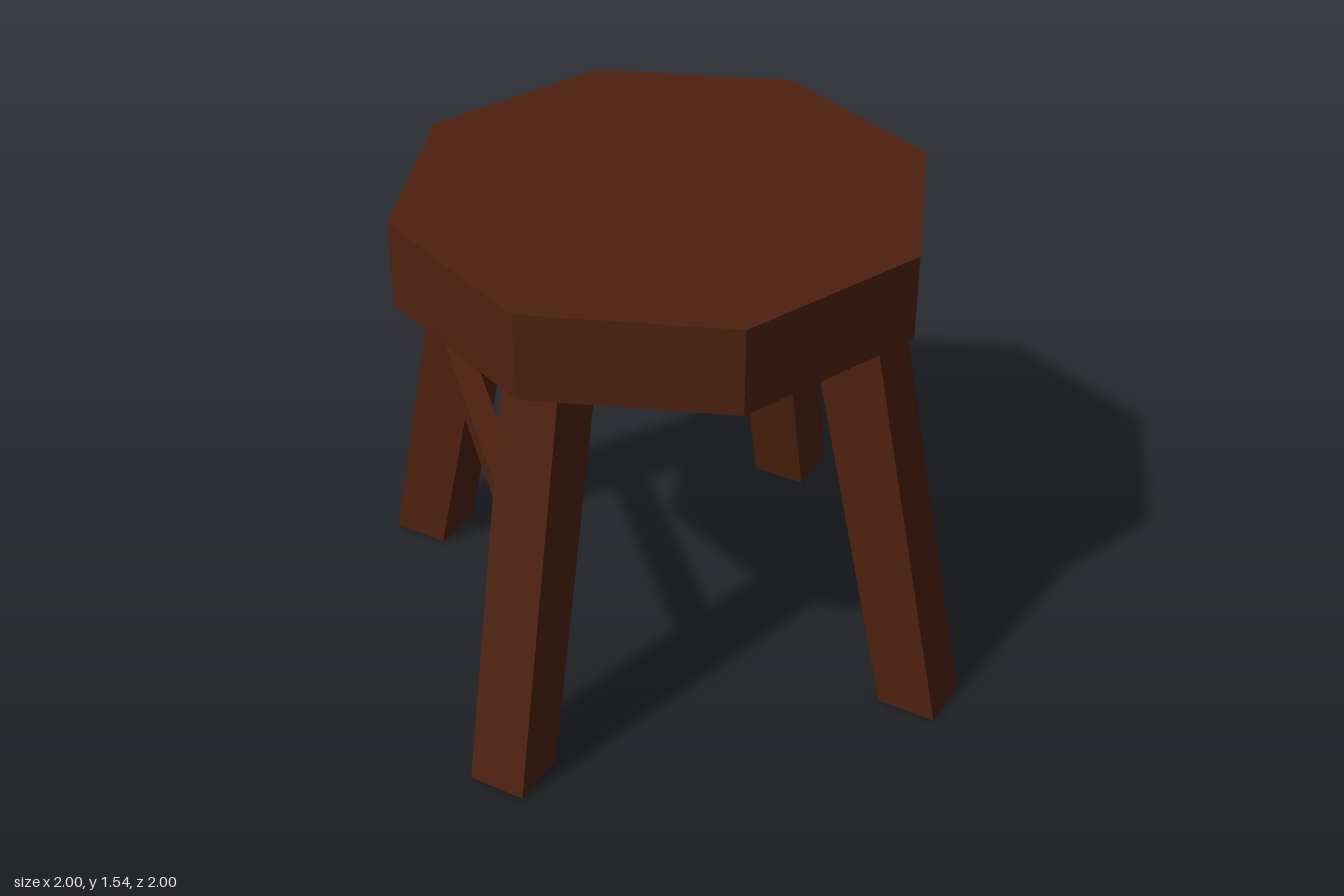
import * as THREE from 'three';

const wood = new THREE.MeshStandardMaterial({ color: 0x4e2210, flatShading: true, side: THREE.DoubleSide });
wood.name = 'darkWood';

const SEAT_BOTTOM = 1.27, SEAT_TOP = 1.54, SEAT_RADIUS = 0.808;
const HALF_WIDTH = 0.09;

function addMesh(parent, name, geometry) {
  const mesh = new THREE.Mesh(geometry, wood);
  mesh.name = name;
  parent.add(mesh);
  return mesh;
}

// Eight-sided seat shell, open underneath
function seatGeometry() {
  const profile = [[SEAT_RADIUS, SEAT_BOTTOM], [SEAT_RADIUS, SEAT_TOP], [0, SEAT_TOP]];
  return new THREE.LatheGeometry(profile.map(([r, y]) => new THREE.Vector2(r, y)), 8);
}

// Splayed square leg along +x, open at both ends
function legGeometry() {
  const geometry = new THREE.BoxGeometry(1, 1, 1);
  const index = Array.from(geometry.index.array);
  index.splice(12, 12); // drop the top and bottom faces
  geometry.setIndex(index);
  geometry.clearGroups();
  const p = geometry.attributes.position;
  for (let i = 0; i < p.count; i++) {
    const top = p.getY(i) > 0, outer = p.getX(i) > 0;
    const x = top ? (outer ? 0.685 : 0.47) : (outer ? 1 : 0.815);
    p.setXYZ(i, x, top ? SEAT_TOP - 0.005 : 0, Math.sign(p.getZ(i)) * HALF_WIDTH);
  }
  geometry.computeVertexNormals();
  return geometry;
}

// Diagonal rail joining the +x leg to the -z leg, ends flush with the leg sides
function stretcherGeometry() {
  const w = HALF_WIDTH, outer = 0.78, inner = 0.675;
  const plan = new THREE.Shape([[outer, w], [w, outer], [w, inner], [inner, w]]
    .map(([x, y]) => new THREE.Vector2(x, y)));
  const geometry = new THREE.ExtrudeGeometry(plan, { depth: 0.08, bevelEnabled: false });
  geometry.rotateX(-Math.PI / 2);
  geometry.translate(0, 0.813, 0);
  return geometry;
}

export function createModel() {
  const stool = new THREE.Group();
  stool.name = 'stool';
  addMesh(stool, 'seat', seatGeometry());

  const leg = legGeometry();
  ['leftLeg', 'backLeg', 'rightLeg', 'frontLeg'].forEach((name, i) => {
    addMesh(stool, name, leg).rotation.y = i * Math.PI / 2;
  });

  const rail = stretcherGeometry();
  ['backStretcher', 'frontStretcher'].forEach((name, i) => {
    addMesh(stool, name, rail).rotation.y = i * Math.PI;
  });
  return stool;
}
